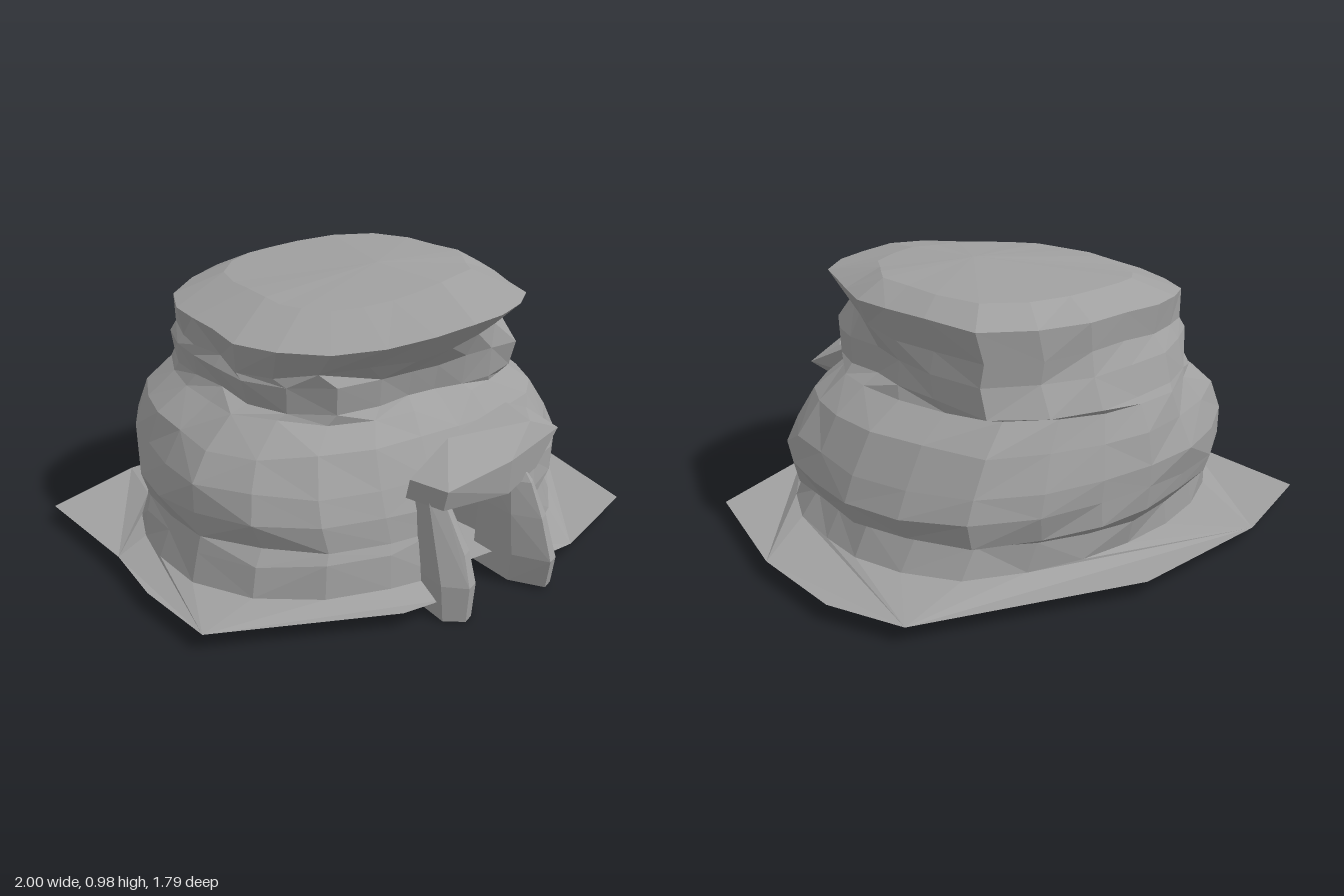
import * as THREE from 'three';
import { ConvexGeometry } from 'three/addons/geometries/ConvexGeometry.js';

const stone = new THREE.MeshStandardMaterial({ color: 0xa0a0a0, flatShading: true, side: THREE.DoubleSide });
const SEG = 24;
const GROUND = 0.055;
const BASE = 0.09;

// Repeatable noise in -1..1
function noise(a, b) {
  const s = Math.sin(a * 127.1 + b * 311.7) * 43758.5453;
  return 2 * (s - Math.floor(s)) - 1;
}

// Plan outlines: radii every 22.5 degrees from +x towards the front, and extents left, right, back, front
const body = {
  radii: [0.785, 0.77, 0.72, 0.68, 0.68, 0.71, 0.82, 0.89, 0.82, 0.79, 0.82, 0.8, 0.8, 0.83, 0.9, 0.85],
  extent: [0.82, 0.785, 0.8, 0.68],
};
const neck = {
  radii: [0.55, 0.57, 0.57, 0.47, 0.43, 0.46, 0.61, 0.65, 0.6, 0.63, 0.68, 0.69, 0.69, 0.74, 0.78, 0.62],
  extent: [0.6, 0.57, 0.69, 0.43],
};
const rim = {
  radii: [0.62, 0.55, 0.6, 0.6, 0.63, 0.66, 0.7, 0.68, 0.61, 0.62, 0.68, 0.66, 0.67, 0.73, 0.79, 0.65],
  extent: [0.63, 0.62, 0.67, 0.63],
};

// Rock layers from the ground up: outline, y, reach to left x, right x, back z, front z
const layers = [
  [body, BASE, 0.85, 0.76, 0.70, 0.71],
  [body, 0.19, 0.82, 0.70, 0.71, 0.69],
  [body, 0.24, 0.80, 0.77, 0.78, 0.68],
  [body, 0.32, 0.83, 0.80, 0.79, 0.67],
  [body, 0.41, 0.81, 0.78, 0.80, 0.63],
  [body, 0.52, 0.76, 0.70, 0.78, 0.57],
  [body, 0.60, 0.63, 0.58, 0.74, 0.49],
  [neck, 0.635, 0.58, 0.55, 0.73, 0.43],
  [neck, 0.73, 0.60, 0.55, 0.69, 0.45],
  [rim, 0.80, 0.61, 0.57, 0.66, 0.53],
  [rim, 0.90, 0.63, 0.61, 0.66, 0.64],
  [rim, 0.955, 0.40, 0.50, 0.54, 0.34],
];

// Corner i of layer r; i = 6 faces the front
function layerPoint(r, i) {
  const [outline, y, ...reach] = layers[r];
  const k = i % SEG, a = (k / SEG) * Math.PI * 2;
  const f = (k / SEG) * 16, n = Math.floor(f);
  const radius = THREE.MathUtils.lerp(outline.radii[n], outline.radii[(n + 1) % 16], f - n);
  const steady = r === 0 || (k >= 5 && k <= 7 && r < 5);
  const wob = steady ? 1 : 1 + 0.018 * noise(k, r);
  const x = radius * Math.cos(a) * wob, z = radius * Math.sin(a) * wob;
  const { extent } = outline;
  const px = x * (x < 0 ? reach[0] / extent[0] : reach[1] / extent[1]);
  const pz = z * (z < 0 ? reach[2] / extent[2] : reach[3] / extent[3]);
  // The top sinks towards its right side
  const tilt = y > 0.78 ? (px < 0 ? 0.08 : 0.02) * px : 0;
  const lift = steady ? 0 : (r > 9 ? 0.006 : 0.014) * noise(k >> 1, r + 9);
  return [px, y + lift + tilt, pz];
}

// Layered rock, left open at the doorway and underneath
function rockGeometry() {
  const pos = [];
  const tri = (...pts) => pts.forEach((p) => pos.push(...p));
  const last = layers.length - 1;
  for (let r = 0; r < last; r++) {
    for (let i = 0; i < SEG; i++) {
      if (r < 4 && (i === 5 || i === 6)) continue;
      const a = layerPoint(r, i), b = layerPoint(r, i + 1);
      const c = layerPoint(r + 1, i + 1), d = layerPoint(r + 1, i);
      if (noise(i, r + 70) > 0) { tri(a, d, c); tri(a, c, b); }
      else { tri(a, d, b); tri(b, d, c); }
    }
  }
  for (let i = 0; i < SEG; i++) tri(layerPoint(last, i), [0.1, 0.98, 0], layerPoint(last, i + 1));
  const g = new THREE.BufferGeometry();
  g.setAttribute('position', new THREE.Float32BufferAttribute(pos, 3));
  g.computeVertexNormals();
  return g;
}

// Apron rising gently to the rock, broken at the doorway
function apronGeometry() {
  const outer = [
    [0.19, 0.76], [0.38, 0.75], [0.83, 0.57], [0.98, 0.04], [1, -0.35], [0.9, -0.63], [0.11, -0.9],
    [-0.48, -0.85], [-0.9, -0.69], [-0.93, -0.15], [-0.99, 0.15], [-1, 0.5], [-0.42, 0.78], [-0.26, 0.79],
  ];
  const inner = [];
  for (let i = 7; i <= SEG + 5; i++) {
    const [x, , z] = layerPoint(0, i);
    inner.push([x, z]);
  }
  const loop = [...outer, ...inner].map(([x, z]) => new THREE.Vector2(x, z));
  const pos = [];
  for (const face of THREE.ShapeUtils.triangulateShape(loop, [])) {
    for (const n of face) pos.push(loop[n].x, n < outer.length ? GROUND : BASE, loop[n].y);
  }
  const g = new THREE.BufferGeometry();
  g.setAttribute('position', new THREE.Float32BufferAttribute(pos, 3));
  // Make every triangle face up
  for (let i = 0; i < pos.length; i += 9) {
    const cross = (pos[i + 3] - pos[i]) * (pos[i + 8] - pos[i + 2]) - (pos[i + 5] - pos[i + 2]) * (pos[i + 6] - pos[i]);
    if (cross > 0) {
      const n = i / 3, p = g.attributes.position;
      p.setXYZ(n + 1, pos[i + 6], pos[i + 7], pos[i + 8]);
      p.setXYZ(n + 2, pos[i + 3], pos[i + 4], pos[i + 5]);
    }
  }
  g.computeVertexNormals();
  return g;
}

// Alcove behind the doorway: a box without its front
function alcoveGeometry() {
  const g = new THREE.BoxGeometry(0.4, 0.33, 0.4);
  const idx = Array.from(g.index.array);
  idx.splice(24, 6);
  g.setIndex(idx);
  return g.translate(-0.04, 0.245, 0.46);
}

const hull = (pts) => new ConvexGeometry(pts.map((p) => new THREE.Vector3(...p)));

// Leaning post: six-sided sections [y, centre x, half width, back z, front z]
function postGeometry(sections) {
  const pts = [];
  for (const [y, x, w, zb, zf] of sections) {
    const zm = (zb + zf) / 2;
    pts.push([x - w * 0.7, y, zb], [x + w * 0.7, y, zb], [x + w, y, zm + 0.02]);
    pts.push([x + w * 0.4, y, zf - 0.02], [x - w * 0.2, y, zf], [x - w, y, zm + 0.04]);
  }
  return hull(pts);
}

export function createModel() {
  const model = new THREE.Group();
  const add = (name, geometry) => {
    const m = new THREE.Mesh(geometry, stone);
    m.name = name;
    model.add(m);
  };

  add('rock', rockGeometry());
  add('groundApron', apronGeometry());
  add('doorAlcove', alcoveGeometry());

  // Slab over the doorway
  add('lintel', hull([
    [-0.29, 0.37, 0.63], [-0.29, 0.44, 0.65], [-0.25, 0.36, 0.77], [-0.25, 0.43, 0.79],
    [-0.1, 0.53, 0.62], [0.03, 0.35, 0.78], [0.03, 0.47, 0.79], [0.24, 0.56, 0.54],
    [0.28, 0.55, 0.6], [0.2, 0.545, 0.7], [0.36, 0.48, 0.68], [0.22, 0.38, 0.72], [0.1, 0.36, 0.54], [-0.2, 0.36, 0.55],
  ]));

  // Door posts
  add('rightPost', postGeometry([
    [0, -0.22, 0.07, 0.69, 0.87], [0.12, -0.215, 0.075, 0.66, 0.88],
    [0.22, -0.205, 0.065, 0.62, 0.84], [0.38, -0.22, 0.045, 0.6, 0.75],
  ]));
  add('leftPost', postGeometry([
    [0.01, 0.145, 0.075, 0.55, 0.87], [0.11, 0.145, 0.075, 0.56, 0.89],
    [0.25, 0.145, 0.065, 0.57, 0.84], [0.36, 0.145, 0.045, 0.58, 0.78], [0.41, 0.15, 0.015, 0.6, 0.72],
  ]));

  return model;
}
